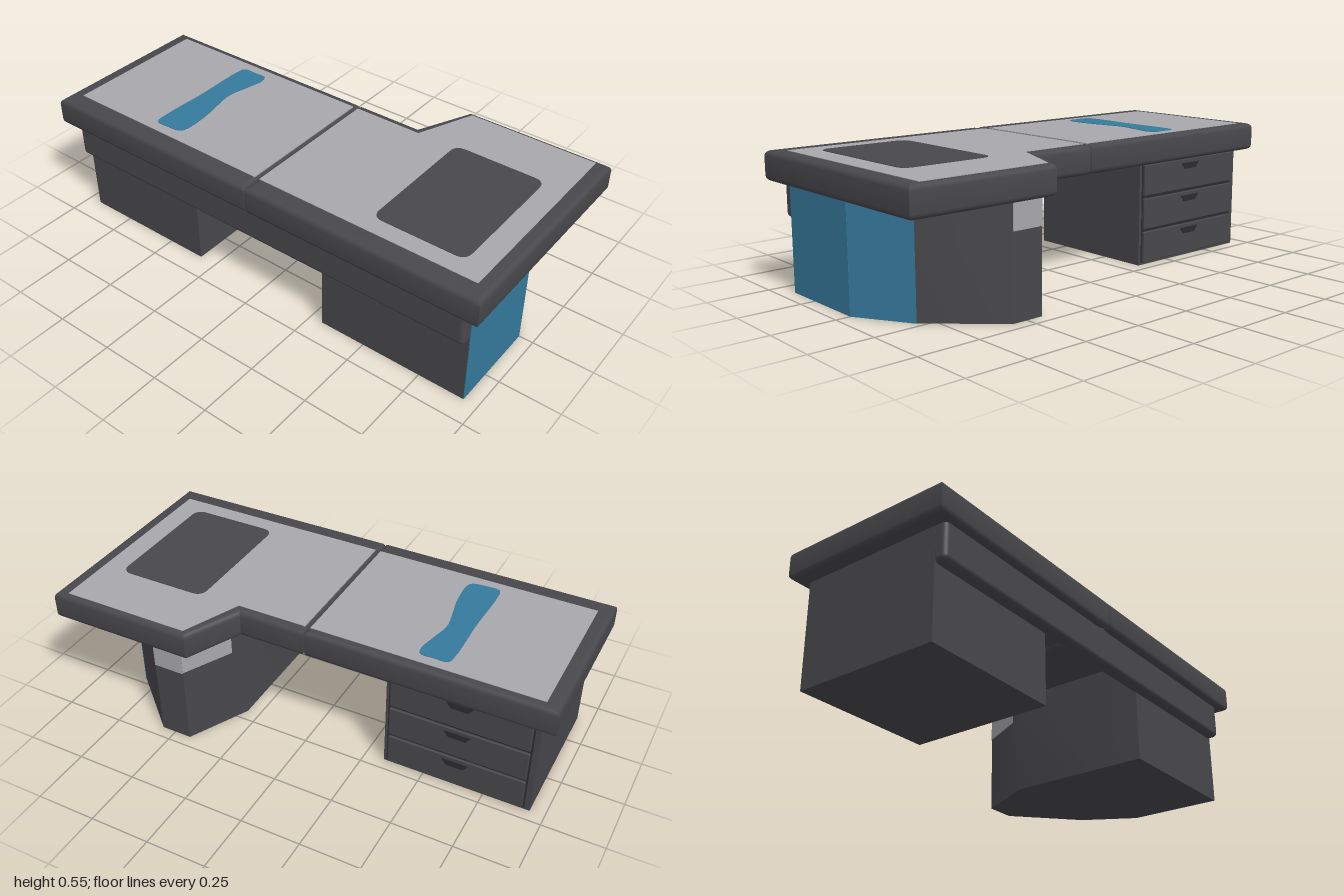
import * as THREE from 'three';
import { toCreasedNormals } from 'three/addons/utils/BufferGeometryUtils.js';
import { RoundedBoxGeometry } from 'three/addons/geometries/RoundedBoxGeometry.js';

function material(name, color) {
  const m = new THREE.MeshStandardMaterial({ color });
  m.name = name;
  return m;
}

// Plan outlines are [x, z] points; shapes lie in x / -z and are extruded upward.
const toVectors = (points) => points.map(([x, z]) => new THREE.Vector2(x, -z));
const planShape = (points) => new THREE.Shape(toVectors(points));

function extrudeUp(shape, y0, y1, bevel = 0) {
  const geo = new THREE.ExtrudeGeometry(shape, {
    depth: y1 - y0 - 2 * bevel,
    bevelEnabled: bevel > 0,
    bevelSize: bevel,
    bevelThickness: bevel,
    bevelOffset: -bevel,
    bevelSegments: 4,
    curveSegments: 8,
  });
  geo.rotateX(-Math.PI / 2);
  geo.translate(0, y0 + bevel, 0);
  return toCreasedNormals(geo, 0.6);
}

function roundedRect(x0, x1, z0, z1, r) {
  const s = new THREE.Shape();
  const a = -z1, b = -z0;
  s.moveTo(x0 + r, a);
  s.lineTo(x1 - r, a).quadraticCurveTo(x1, a, x1, a + r);
  s.lineTo(x1, b - r).quadraticCurveTo(x1, b, x1 - r, b);
  s.lineTo(x0 + r, b).quadraticCurveTo(x0, b, x0, b - r);
  s.lineTo(x0, a + r).quadraticCurveTo(x0, a, x0 + r, a);
  return s;
}

export function createModel() {
  const group = new THREE.Group();
  const dark = material('charcoal', 0x48474b);
  const grey = material('light grey', 0xa8a7ab);
  const blue = material('blue', 0x35799c);
  const shadow = material('dark recess', 0x2c2c2f);

  function add(name, geometry, mat) {
    const mesh = new THREE.Mesh(geometry, mat);
    mesh.name = name;
    group.add(mesh);
    return mesh;
  }

  // Two worktop halves with rounded rims
  const TOP = 0.55, UNDER = 0.432;
  add('worktopStraight', extrudeUp(planShape([
    [-1, 0.475], [-0.002, 0.475], [-0.002, -0.25], [-1, -0.25],
  ]), UNDER, TOP, 0.022), dark);
  add('worktopCorner', extrudeUp(planShape([
    [0.002, 0.475], [1, 0.475], [1, -0.479], [0.385, -0.479], [0.28, -0.25], [0.002, -0.25],
  ]), UNDER, TOP, 0.022), dark);

  // Inlaid writing surfaces
  add('inlayStraight', extrudeUp(planShape([
    [-0.943, 0.398], [-0.012, 0.398], [-0.012, -0.215], [-0.943, -0.215],
  ]), TOP - 0.003, TOP + 0.002), grey);
  add('inlayCorner', extrudeUp(planShape([
    [0.012, 0.398], [0.945, 0.398], [0.945, -0.455], [0.405, -0.455], [0.305, -0.215], [0.012, -0.215],
  ]), TOP - 0.003, TOP + 0.002), grey);

  // Desk pad and wavy blue rest
  add('deskPad', extrudeUp(roundedRect(0.47, 0.853, -0.228, 0.325, 0.045), TOP, TOP + 0.004), dark);
  const wave = new THREE.CatmullRomCurve3([
    [-0.555, -0.168], [-0.5, -0.172], [-0.445, -0.17], [-0.434, -0.14], [-0.448, -0.06],
    [-0.466, 0.03], [-0.45, 0.13], [-0.433, 0.22], [-0.438, 0.34], [-0.5, 0.354],
    [-0.558, 0.35], [-0.567, 0.3], [-0.562, 0.09], [-0.565, -0.12],
  ].map(([x, z]) => new THREE.Vector3(x, -z, 0)), true);
  const waveShape = new THREE.Shape(
    wave.getPoints(60).slice(0, 60).map((p) => new THREE.Vector2(p.x, p.y)));
  add('waveRest', extrudeUp(waveShape, TOP, TOP + 0.004), blue);

  // Front apron rail
  const apron = add('frontApron', new RoundedBoxGeometry(1.88, 0.16, 0.06, 4, 0.02), dark);
  apron.position.set(0, 0.37, 0.415);

  // Drawer pedestal
  const pedestal = add('drawerPedestal', new THREE.BoxGeometry(0.61, 0.44, 0.6), dark);
  pedestal.position.set(-0.635, 0.22, 0.1);

  // Three drawer fronts on the back face, each on a dark groove with a finger pull
  const groove = add('drawerGroove', new THREE.BoxGeometry(0.575, 0.42, 0.004), shadow);
  groove.position.set(-0.63, 0.219, -0.2);
  const pull = new THREE.Shape(toVectors([[-0.055, -0.013], [-0.035, 0.013], [0.035, 0.013], [0.055, -0.013]]));
  for (let i = 0; i < 3; i++) {
    const y = 0.077 + i * 0.142;
    const front = add('drawerFront', new RoundedBoxGeometry(0.562, 0.13, 0.016, 2, 0.004), dark);
    front.position.set(-0.63, y, -0.204);
    const handle = add('drawerPull', new THREE.ExtrudeGeometry(pull, { depth: 0.004, bevelEnabled: false }), shadow);
    handle.position.set(-0.63, y + 0.036, -0.215);
  }

  // Angled pedestal under the corner worktop
  const plan = [
    [0.305, 0.4], [0.94, 0.4], [0.94, 0], [0.81, -0.222], [0.56, -0.45], [0.43, -0.45], [0.305, -0.2],
  ];
  add('cornerPedestal', extrudeUp(planShape(plan), 0, 0.44), dark);

  // Thin coloured panels laid on the pedestal walls, from plan point a to b
  function wallPanel(name, a, b, y0, y1, mat) {
    const dx = b[0] - a[0], dz = b[1] - a[1];
    const length = Math.hypot(dx, dz);
    const panel = add(name, new THREE.BoxGeometry(length, y1 - y0, 0.004), mat);
    panel.position.set((a[0] + b[0]) / 2, (y0 + y1) / 2, (a[1] + b[1]) / 2);
    panel.rotation.y = Math.atan2(-dz, dx);
  }
  wallPanel('bluePanelSide', plan[1], plan[2], 0, 0.435, blue);
  wallPanel('bluePanelAngled', plan[2], plan[3], 0, 0.435, blue);
  wallPanel('greyBadgeBack', plan[4], plan[5], 0.33, 0.435, grey);
  wallPanel('greyBadgeAngled', plan[5], [0.33, -0.25], 0.335, 0.435, grey);

  return group;
}
